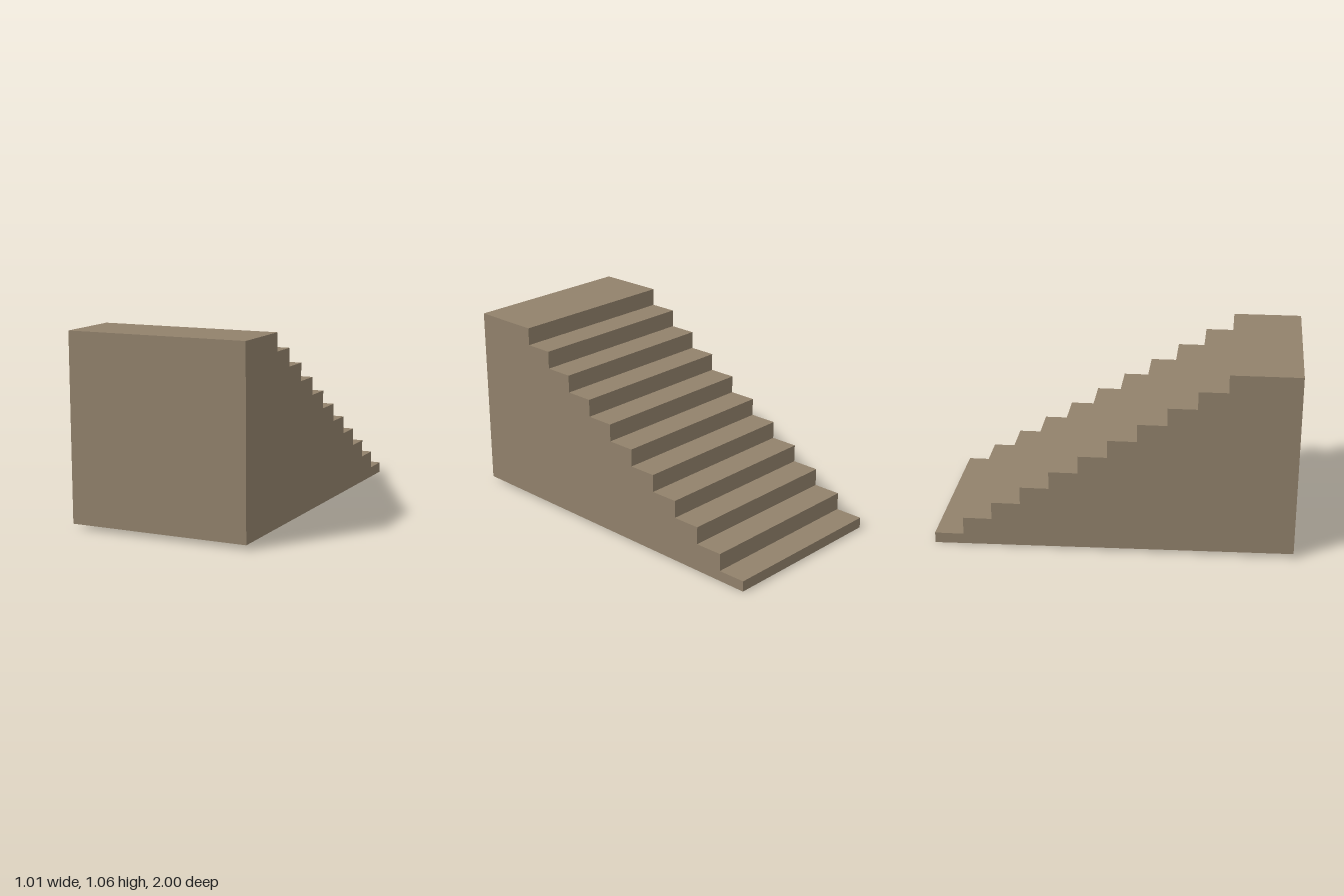
import * as THREE from 'three';

export function createModel() {
  const group = new THREE.Group();
  group.name = 'staircase';

  const stone = new THREE.MeshStandardMaterial({ color: 0x91816b });
  stone.name = 'brown stone';

  const width = 1.01;
  const steps = 10;
  const run = 0.1612; // tread depth
  const rise = 0.0997;
  const firstTop = 0.06;

  // Side profile: x is depth (back to front), y is height
  const profile = new THREE.Shape();
  profile.moveTo(-1, 0);
  profile.lineTo(0.99, 0.025); // slightly sloping underside
  profile.lineTo(1, firstTop + steps * rise);
  for (let i = steps; i > 0; i--) {
    const z = -1 + i * run;
    profile.lineTo(z, firstTop + i * rise);
    profile.lineTo(z, firstTop + (i - 1) * rise);
  }
  profile.lineTo(-1, firstTop);
  profile.closePath();

  // Solid flight of stairs with the landing at the front
  const geometry = new THREE.ExtrudeGeometry(profile, { depth: width, bevelEnabled: false });
  geometry.translate(0, 0, -width / 2);
  geometry.rotateY(-Math.PI / 2);

  const stairs = new THREE.Mesh(geometry, stone);
  stairs.name = 'stairsAndLanding';
  group.add(stairs);
  return group;
}
